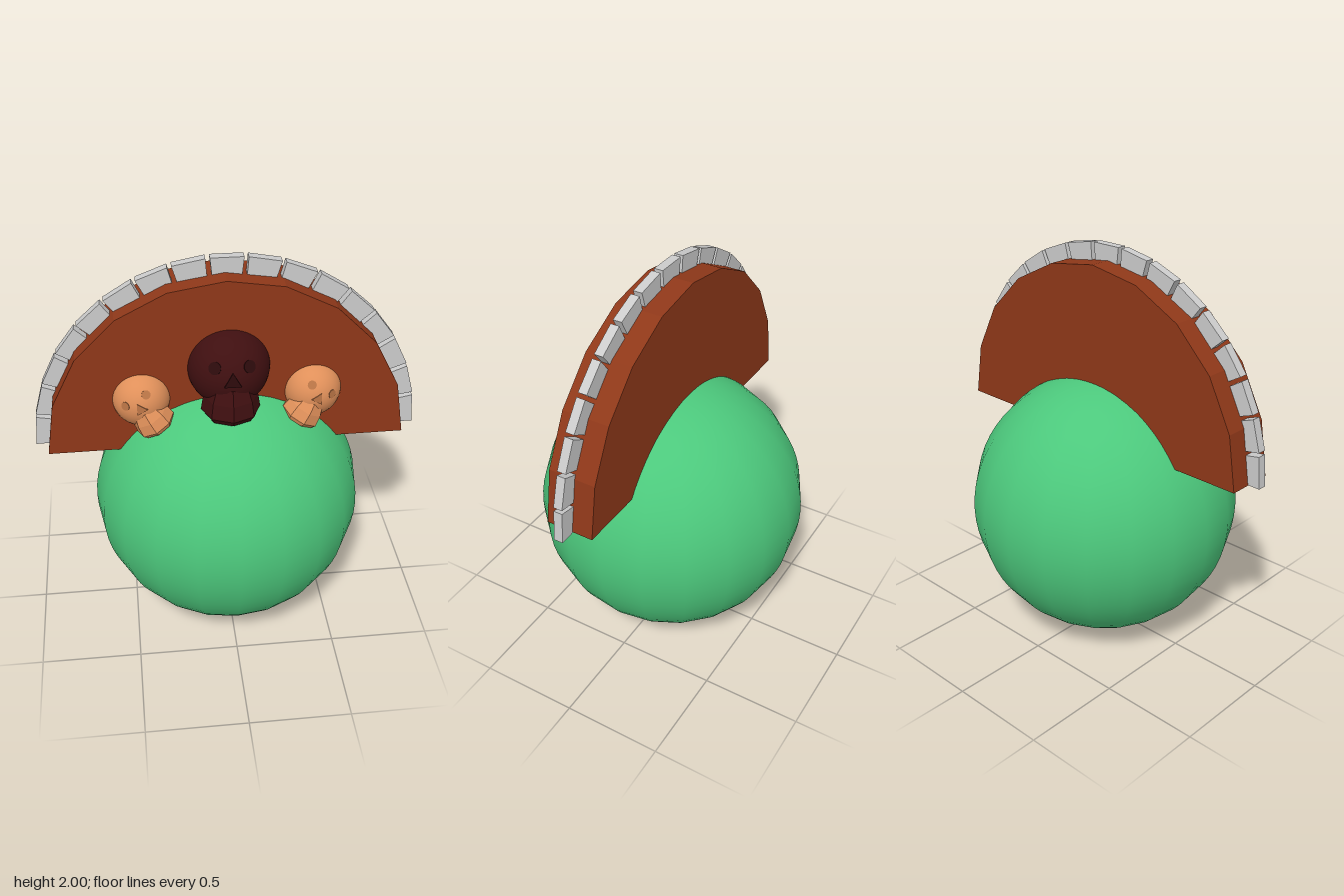
import * as THREE from 'three';

const mat = (color, flatShading = false) => new THREE.MeshStandardMaterial({ color, flatShading });

function addMesh(parent, name, geometry, material) {
  const mesh = new THREE.Mesh(geometry, material);
  mesh.name = name;
  parent.add(mesh);
  return mesh;
}

// Extruded polygon spanning z0 to z0 + depth
function prism(points, z0, depth) {
  const shape = new THREE.Shape(points.map(([x, y]) => new THREE.Vector2(x, y)));
  return new THREE.ExtrudeGeometry(shape, { depth, bevelEnabled: false }).translate(0, 0, z0);
}

// Skull centred on its cranium, facing +z
function makeSkull(name, color, socketColor) {
  const skull = new THREE.Group();
  skull.name = name;
  const R = 0.195;
  addMesh(skull, 'cranium', new THREE.SphereGeometry(R, 40, 28), mat(color));

  // Eight-sided jaw with a corner at the front
  const profile = [[0, -0.205], [0.12, -0.205], [0.14, -0.175], [0.128, -0.1], [0.1, -0.03], [0, -0.03]];
  const jaw = addMesh(skull, 'jaw',
    new THREE.LatheGeometry(profile.map(([r, y]) => new THREE.Vector2(r, y)), 8), mat(color, true));
  jaw.position.z = 0.095;

  // Shallow eye sockets and nose opening lying on the cranium
  const socketMat = mat(socketColor, true);
  const place = (part, x, y) => {
    const dir = new THREE.Vector3(x, y, Math.sqrt(R * R - x * x - y * y));
    part.lookAt(dir);
    part.position.copy(dir).multiplyScalar(0.985);
  };
  const eye = new THREE.CylinderGeometry(0.03, 0.03, 0.008, 20).rotateX(Math.PI / 2);
  for (const side of [-1, 1]) {
    place(addMesh(skull, side > 0 ? 'leftEyeSocket' : 'rightEyeSocket', eye, socketMat), side * 0.08, 0.078);
  }
  place(addMesh(skull, 'noseOpening', prism([[-0.04, -0.03], [0.04, -0.03], [0, 0.04]], -0.004, 0.011), socketMat), 0, 0.025);
  return skull;
}

export function createModel() {
  const model = new THREE.Group();
  model.name = 'skullArchOnBall';

  // Large ball base
  addMesh(model, 'ball', new THREE.SphereGeometry(0.672, 20, 32), mat(0x4cc87c)).position.y = 0.675;

  // Half-round slab with ten straight edge segments
  const arc = [];
  for (let i = 0; i <= 10; i++) {
    const a = Math.PI * i / 10;
    arc.push([0.87 * Math.cos(a), 0.87 * Math.sin(a)]);
  }
  const slab = addMesh(model, 'archSlab', prism(arc, -0.1, 0.24), mat(0x8f3819, true));
  slab.position.set(-0.01, 1.055, 0);
  slab.rotation.z = 0.005;

  // Row of wedge stones around the rim
  const stones = new THREE.Group();
  stones.name = 'rimStones';
  stones.position.set(-0.003, 1.052, 0);
  model.add(stones);
  const wedge = prism([[0.84, -0.068], [0.934, -0.078], [0.934, 0.078], [0.84, 0.068]], 0.005, 0.045);
  const stoneMat = mat(0xcccccc, true);
  const count = 17, first = 0.083;
  for (let i = 0; i < count; i++) {
    const stone = addMesh(stones, 'stone', wedge, stoneMat);
    stone.rotation.z = first + (Math.PI - 2 * first) * i / (count - 1);
    // Stones sit a little further out towards the crown
    const lift = 0.012 * Math.sin(stone.rotation.z);
    stone.position.set(Math.cos(stone.rotation.z) * lift, Math.sin(stone.rotation.z) * lift, 0);
  }

  // Dark middle skull and two smaller tilted ones
  const big = makeSkull('middleSkull', 0x3f0f10, 0x2c0a0b);
  big.position.set(-0.005, 1.486, 0.12);
  model.add(big);
  for (const side of [-1, 1]) {
    const small = makeSkull(side > 0 ? 'leftSkull' : 'rightSkull', 0xe0905a, 0xb87345);
    small.position.set(side * 0.41 - 0.01, 1.333, 0.11);
    small.rotation.z = -side * 0.52;
    small.scale.setScalar(0.71);
    model.add(small);
  }
  return model;
}
